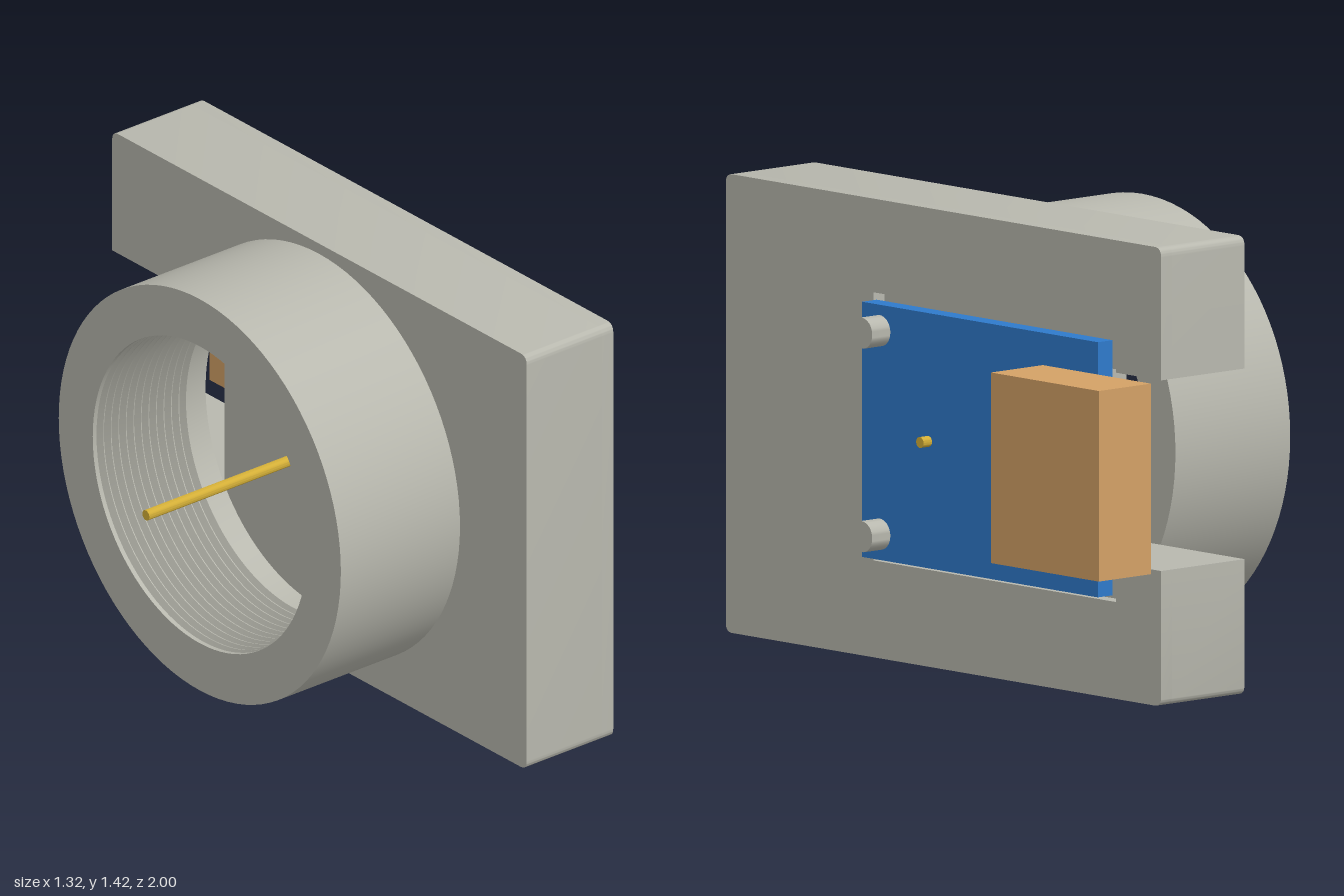
import * as THREE from 'three';
import { toCreasedNormals } from 'three/addons/utils/BufferGeometryUtils.js';

const material = (name, color) => {
  const m = new THREE.MeshStandardMaterial({ color });
  m.name = name;
  return m;
};

export function createModel() {
  const group = new THREE.Group();
  const metal = material('grey metal', 0xb8b8ae);
  const blue = material('board blue', 0x2f7acb);
  const tan = material('connector tan', 0xd3a166);
  const gold = material('pin gold', 0xd4af37);

  const add = (name, geometry, mat) => {
    const mesh = new THREE.Mesh(geometry, mat);
    mesh.name = name;
    group.add(mesh);
    return mesh;
  };
  const box = (name, x0, x1, y0, y1, z0, z1, mat) =>
    add(name, new THREE.BoxGeometry(x1 - x0, y1 - y0, z1 - z0), mat)
      .position.set((x0 + x1) / 2, (y0 + y1) / 2, (z0 + z1) / 2);
  const rod = (name, r, x0, x1, y, z, mat, sides = 32) => {
    const g = toCreasedNormals(new THREE.CylinderGeometry(r, r, x1 - x0, sides), 0.6);
    add(name, g.rotateZ(Math.PI / 2), mat).position.set((x0 + x1) / 2, y, z);
  };

  const cy = 0.713, cz = 0.01;          // bore axis
  const screws = [[0.4, 0.23], [1.03, 0.23]];

  // Flange layer: rounded outline drawn as (-z, y), with a cut-out opening at the back edge
  const flangeLayer = (name, cut, holes, x0, x1) => {
    const a = -1, b = 0.975, h = 1.42, r = 0.03;
    const s = new THREE.Shape();
    s.moveTo(a + r, 0);
    s.lineTo(b - r, 0);
    s.quadraticCurveTo(b, 0, b, r);
    cut.forEach(([u, v]) => s.lineTo(u, v));
    s.lineTo(b, h - r);
    s.quadraticCurveTo(b, h, b - r, h);
    s.lineTo(a + r, h);
    s.quadraticCurveTo(a, h, a, h - r);
    s.lineTo(a, r);
    s.quadraticCurveTo(a, 0, a + r, 0);
    holes.forEach(([y, z, hr]) => {
      const p = new THREE.Path();
      p.absarc(-z, y, hr, 0, Math.PI * 2, true);
      s.holes.push(p);
    });
    const g = new THREE.ExtrudeGeometry(s, { depth: x1 - x0, bevelEnabled: false, curveSegments: 12 });
    g.rotateY(Math.PI / 2).translate(x0, 0, 0);
    add(name, toCreasedNormals(g, 0.6), metal);
  };
  const lo = 0.42, hi = 1.01, end = 0.44;
  flangeLayer('flangeBase', [[0.975, lo], [end, lo], [end, hi], [0.975, hi]],
    screws.map(([y, z]) => [y, z, 0.05]), 0.03, 0.33);
  flangeLayer('flangePocketRim', [[0.975, lo], [0.77, lo], [0.77, 0.3], [-0.33, 0.3],
    [-0.33, 1.13], [0.77, 1.13], [0.77, hi], [0.975, hi]], [], 0.33, 0.375);

  // Threaded collar: closed profile turned around the bore axis
  const profile = [[0.672, -0.03], [0.672, 0.445], [0.51, 0.445]];
  const turns = 12, pitch = 0.03;
  for (let i = 0; i < turns; i++) {
    const y = 0.43 - i * pitch;
    profile.push([0.51, y], [0.54, y - pitch * 0.45], [0.51, y - pitch * 0.9]);
  }
  profile.push([0.54, 0.06], [0.54, -0.03], [0.672, -0.03]);
  const collar = new THREE.LatheGeometry(profile.map(([r, y]) => new THREE.Vector2(r, y)), 96);
  add('threadedCollar', toCreasedNormals(collar.rotateZ(Math.PI / 2), 0.5), metal)
    .position.set(0, cy, cz);

  // Circuit board and its edge connector
  box('circuitBoard', 0.38, 0.44, 0.32, 1.11, -0.76, 0.31, blue);
  box('connector', 0.44, 0.655, 0.42, 1.01, -1, -0.51, tan);

  // Screws, centre boss and contact pin
  screws.forEach(([y, z]) => rod('screw', 0.048, 0.15, 0.515, y, z, metal));
  rod('centreBoss', 0.07, 0.32, 0.38, cy, cz, metal);
  rod('contactPin', 0.017, -0.66, 0.475, cy, cz, gold, 16);

  return group;
}
